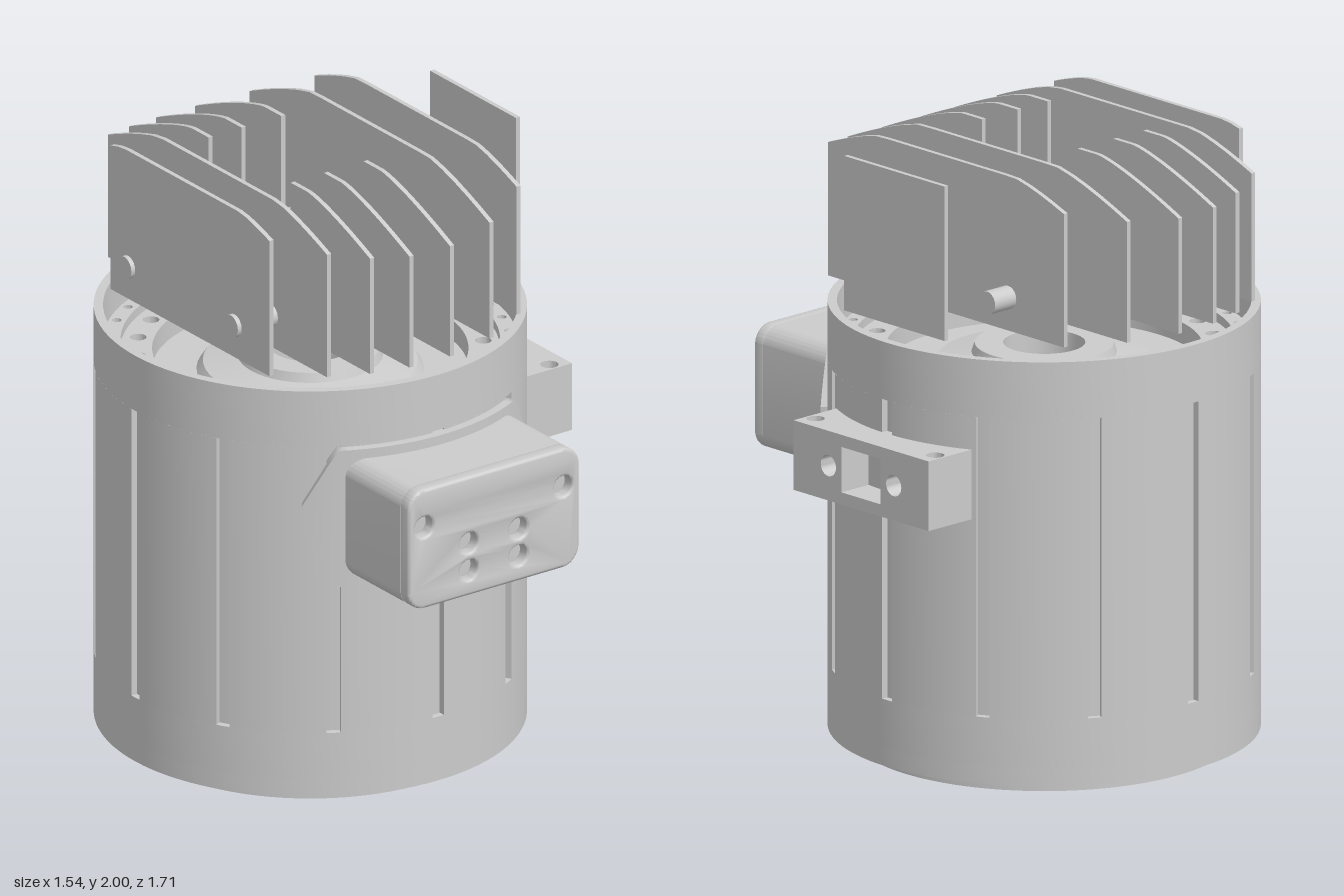
import * as THREE from 'three';
import { toCreasedNormals } from 'three/addons/utils/BufferGeometryUtils.js';

const R = 0.685;
const material = new THREE.MeshStandardMaterial({ color: 0xcccccc, side: THREE.DoubleSide });

function add(parent, name, geometry) {
  const mesh = new THREE.Mesh(geometry, material);
  mesh.name = name;
  parent.add(mesh);
  return mesh;
}

function circle(r, x = 0, y = 0) {
  return new THREE.Path().absarc(x, y, r, 0, Math.PI * 2, true);
}

function ringOfHoles(count, radius, r) {
  return Array.from({ length: count }, (_, i) => {
    const a = (i / count) * Math.PI * 2;
    return circle(r, Math.cos(a) * radius, Math.sin(a) * radius);
  });
}

function extrude(shape, holes, depth, segments = 12) {
  shape.holes.push(...holes);
  const g = new THREE.ExtrudeGeometry(shape, { depth, bevelEnabled: false, curveSegments: segments });
  return toCreasedNormals(g, 0.6);
}

// Horizontal slab between two heights
function slab(shape, holes, y0, y1, segments) {
  return extrude(shape, holes, y1 - y0, segments).rotateX(-Math.PI / 2).translate(0, y0, 0);
}

function disc(r) {
  return new THREE.Shape().absarc(0, 0, r, 0, Math.PI * 2, false);
}

function polygon(points) {
  return new THREE.Shape(points.map(q => new THREE.Vector2(...q)));
}

function lathe(points) {
  return toCreasedNormals(new THREE.LatheGeometry(points.map(q => new THREE.Vector2(...q)), 48), 0.5);
}

function roundedRect(w, h, r) {
  const s = new THREE.Shape(), x = w / 2, y = h / 2;
  s.absarc(x - r, y - r, r, 0, Math.PI / 2);
  s.absarc(-x + r, y - r, r, Math.PI / 2, Math.PI);
  s.absarc(-x + r, -y + r, r, Math.PI, Math.PI * 1.5);
  s.absarc(x - r, -y + r, r, Math.PI * 1.5, Math.PI * 2);
  s.closePath();
  return s;
}

// Circle outline with twelve shallow slots
function slottedDisc() {
  const s = new THREE.Shape(), half = 0.033, floor = R - 0.022;
  for (let i = 0; i < 12; i++) {
    const a = (i * Math.PI) / 6, b = a + Math.PI / 6;
    s.absarc(0, 0, floor, a - half, a + half, false);
    s.absarc(0, 0, R, a + half, b - half, false);
  }
  s.closePath();
  return s;
}

function buildHousing(parent) {
  const housing = new THREE.Group();
  housing.name = 'housing';
  parent.add(housing);
  add(housing, 'lowerWall', slab(disc(R), [circle(0.64)], 0.1, 0.26, 48));
  add(housing, 'slottedWall', slab(slottedDisc(), [circle(0.64)], 0.26, 1.25, 8));
  add(housing, 'upperWall', slab(disc(R), [circle(0.655)], 1.25, 1.44, 48));

  // Stepped base
  add(housing, 'baseFlange', slab(disc(R), [circle(0.22), ...ringOfHoles(36, 0.645, 0.018)], 0.04, 0.1, 48));
  add(housing, 'footRing', slab(disc(0.605), [circle(0.53), ...ringOfHoles(24, 0.565, 0.024)], 0, 0.04, 48));
  add(housing, 'lowerHub', slab(disc(0.34), [circle(0.22)], 0.01, 0.04, 36));

  // Top cover with two bolt circles around a raised hub
  add(housing, 'coverFlange', slab(disc(0.657), [circle(0.6), ...ringOfHoles(36, 0.63, 0.015)], 1.25, 1.32, 48));
  add(housing, 'boltRing', slab(disc(0.6), [circle(0.5), ...ringOfHoles(24, 0.55, 0.026)], 1.22, 1.29, 48));
  add(housing, 'coverFloor', slab(disc(0.64), [circle(0.13)], 1.17, 1.22, 48));
  add(housing, 'upperHub', lathe(
    [[0.13, 1.17], [0.13, 1.3], [0.22, 1.3], [0.23, 1.27], [0.34, 1.25], [0.36, 1.22]]));
  add(housing, 'bore', lathe([[0.22, 0.01], [0.22, 0.3], [0.13, 0.34], [0.13, 1.17]]));
}

function buildTerminalBox(parent) {
  const box = new THREE.Group();
  box.name = 'terminalBox';
  parent.add(box);

  // Curved mounting pad with pointed ends
  const pad = new THREE.BoxGeometry(2, 2, 1, 32, 1, 1);
  const p = pad.attributes.position;
  for (let i = 0; i < p.count; i++) {
    const u = p.getX(i), angle = u * 0.67, r = p.getZ(i) > 0 ? 0.714 : 0.665;
    const h = 0.235 - Math.max(0, Math.abs(u) - 0.76) / 0.24 * 0.19;
    p.setXYZ(i, Math.sin(angle) * r, 1.01 + p.getY(i) * h, Math.cos(angle) * r);
  }
  pad.computeVertexNormals();
  add(box, 'mountingPad', pad);

  add(box, 'boxBody', extrude(roundedRect(0.67, 0.41, 0.065), [], 0.35)).position.set(0.008, 1.008, 0.58);
  const cover = roundedRect(0.65, 0.39, 0.055);
  cover.holes.push(...[-1, 1].flatMap(s => [
    circle(0.045, s * 0.272, 0.075), circle(0.045, s * 0.097, -0.025), circle(0.045, s * 0.097, -0.118)]));
  const coverGeometry = new THREE.ExtrudeGeometry(cover, {
    depth: 0.03, bevelSize: 0.01, bevelThickness: 0.01, bevelSegments: 3, curveSegments: 12 });
  add(box, 'boxCover', toCreasedNormals(coverGeometry, 0.6)).position.set(0.008, 1.008, 0.933);
}

function buildBracket(parent) {
  const bracket = new THREE.Group();
  bracket.name = 'sideBracket';
  parent.add(bracket);
  const middle = polygon([[-0.24, -0.115], [0.24, -0.115], [0.24, 0.115], [-0.24, 0.115]]);
  const window = polygon([[-0.09, -0.075], [-0.09, 0.075], [0.09, 0.075], [0.09, -0.075]]);
  const block = extrude(middle, [window, circle(0.035, -0.15), circle(0.035, 0.15)], 0.18);
  add(bracket, 'bracketBlock', block.rotateY(Math.PI / 2)).position.set(0.618, 1.025, 0);
  for (const s of [-1, 1]) {
    const tab = polygon([[0.61, 0.24], [0.798, 0.24], [0.798, 0.31], [0.61, 0.31]].map(([x, z]) => [x, z * s]));
    add(bracket, 'bracketTab', slab(tab, [circle(0.029, 0.735, s * 0.275)], 0.91, 1.14));
  }
}

// One upright fin piece from z0 to z1, its top curving down near the rim
function finShape(z0, z1) {
  const s = new THREE.Shape();
  s.moveTo(z0, 1.49);
  s.lineTo(z1, 1.49);
  const n = 20;
  for (let i = 0; i <= n; i++) {
    const z = z1 + (z0 - z1) * i / n;
    const fall = Math.max(0, Math.abs(z) - 0.31) / 0.375;
    s.lineTo(z, 2 - 0.13 * fall ** 1.3);
  }
  s.closePath();
  return s;
}

function buildFins(parent) {
  const fins = new THREE.Group();
  fins.name = 'fins';
  parent.add(fins);
  const t = 0.016;
  for (const x of [-0.497, -0.355, -0.23, -0.1, 0.055, 0.24, 0.42, 0.645]) {
    const end = Math.sqrt(R * R - x * x);
    // The outermost fin on one side is shortened at the back
    const back = x < -0.4 ? -0.38 : -end;
    // Fins near the axis are interrupted around the bore
    const pieces = Math.abs(x) < 0.235 ? [[back, -0.22], [0.22, end]] : [[back, end]];
    for (const [z0, z1] of pieces) {
      const g = extrude(finShape(z0, z1), [], t).rotateY(-Math.PI / 2);
      add(fins, 'fin', g).position.x = x + t / 2;
    }
  }
  for (const s of [-1, 1]) {
    const bar = new THREE.CylinderGeometry(0.038, 0.038, 1.04, 20).rotateZ(Math.PI / 2);
    add(fins, 'finBar', bar).position.set(0, 1.6, s * 0.285);
  }
}

export function createModel() {
  const model = new THREE.Group();
  model.name = 'motor';
  const body = new THREE.Group();
  body.name = 'motorBody';
  body.position.set(-0.083, 0, -0.167);
  body.rotation.y = 0.262;
  model.add(body);
  buildHousing(body);
  buildTerminalBox(body);
  buildBracket(body);
  buildFins(body);
  return model;
}
